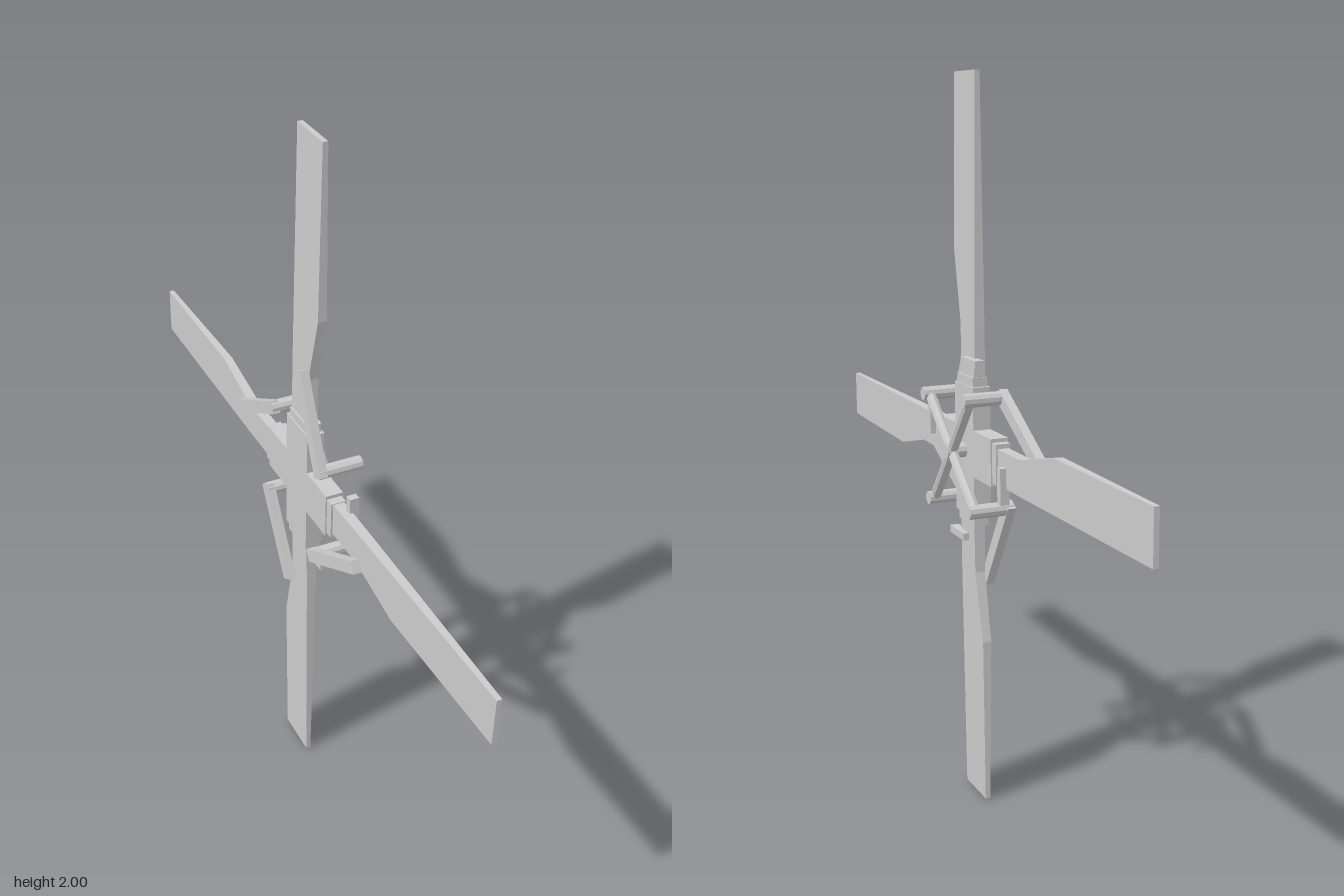
import * as THREE from 'three';

const material = new THREE.MeshStandardMaterial({ color: 0xcccccc, flatShading: true });

function add(parent, name, geometry, x = 0, y = 0, z = 0) {
  const mesh = new THREE.Mesh(geometry, material);
  mesh.name = name;
  mesh.position.set(x, y, z);
  parent.add(mesh);
  return mesh;
}

// Aligns a part's y axis with the line from a to b, centred between them
function span(mesh, a, b) {
  mesh.position.copy(a).add(b).multiplyScalar(0.5);
  mesh.quaternion.setFromUnitVectors(new THREE.Vector3(0, 1, 0), b.clone().sub(a).normalize());
}

// Cranked blade outline, radial along y and chord along z, thinning to the tip
function bladeGeometry() {
  const outline = [[0.1, -0.05], [0.34, -0.054], [0.998, -0.054], [0.998, 0.083],
    [0.53, 0.087], [0.34, 0.042], [0.1, 0.042]];
  const shape = new THREE.Shape(outline.map(([u, v]) => new THREE.Vector2(u, v)));
  const geometry = new THREE.ExtrudeGeometry(shape, { depth: 1, bevelEnabled: false });
  const p = geometry.attributes.position;
  for (let i = 0; i < p.count; i++) {
    const thickness = THREE.MathUtils.mapLinear(p.getX(i), 0.1, 1, 0.034, 0.014);
    p.setXYZ(i, (p.getZ(i) - 0.5) * thickness, p.getX(i), p.getY(i));
  }
  geometry.computeVertexNormals();
  return geometry;
}

// One quarter of the rotor: blade, hub arm and pitch control linkage
function rotorQuarter() {
  const quarter = new THREE.Group();
  add(quarter, 'blade', bladeGeometry());
  add(quarter, 'hubArm', new THREE.BoxGeometry(0.05, 0.18, 0.128), 0, 0.09, 0);
  add(quarter, 'bladeCollar', new THREE.BoxGeometry(0.042, 0.05, 0.108), 0, 0.18, 0);
  add(quarter, 'pitchHorn', new THREE.BoxGeometry(0.026, 0.02, 0.098), 0.019, 0.247, -0.047);

  // Spider arm out to a pin parallel to the rotor axis
  const u = 0.132, v = 0.161;
  const arm = add(quarter, 'spiderArm', new THREE.CylinderGeometry(0.015, 0.015, Math.hypot(u, v), 8));
  span(arm, new THREE.Vector3(0.062, 0, 0), new THREE.Vector3(0.062, u, v));
  const pin = add(quarter, 'spiderPin', new THREE.CylinderGeometry(0.019, 0.019, 0.125, 10), 0.02, u, v);
  pin.rotation.z = Math.PI / 2;

  // Link from the pin to the back of the blade
  const a = new THREE.Vector3(-0.034, u - 0.012, v + 0.007);
  const b = new THREE.Vector3(-0.028, 0.367, 0.03);
  const link = add(quarter, 'pitchLink', new THREE.BoxGeometry(0.024, a.distanceTo(b), 0.036));
  span(link, a, b);
  return quarter;
}

export function createModel() {
  const model = new THREE.Group();
  model.name = 'tailRotor';

  const rotor = new THREE.Group();
  rotor.name = 'rotor';
  rotor.position.y = 1;
  rotor.rotation.set(0.028, -0.122, 0, 'YXZ');
  model.add(rotor);

  for (let i = 0; i < 4; i++) {
    const quarter = rotorQuarter();
    quarter.name = 'rotorQuarter' + (i + 1);
    quarter.rotation.x = i * Math.PI / 2;
    rotor.add(quarter);
  }

  // Central shaft carrying the spider
  const shaft = add(rotor, 'spiderShaft', new THREE.CylinderGeometry(0.02, 0.02, 0.08, 10), 0.04, 0, 0);
  shaft.rotation.z = Math.PI / 2;

  return model;
}
